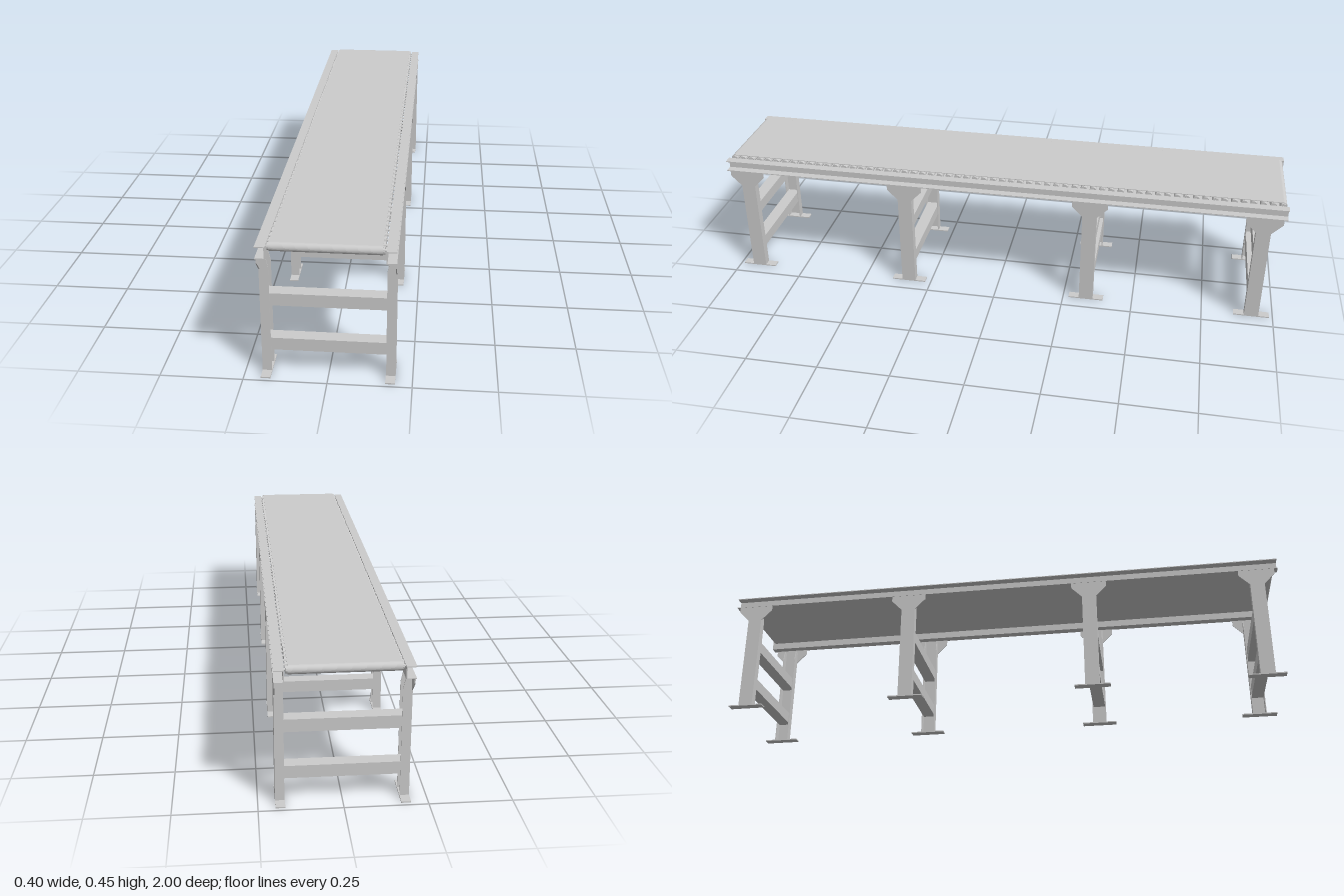
import * as THREE from 'three';

const material = new THREE.MeshStandardMaterial({ color: 0xcccccc, flatShading: true });

function add(parent, name, geometry, x = 0, y = 0, z = 0) {
  const mesh = new THREE.Mesh(geometry, material);
  mesh.name = name;
  mesh.position.set(x, y, z);
  parent.add(mesh);
  return mesh;
}

const box = (w, h, d) => new THREE.BoxGeometry(w, h, d);

// Polygon extruded symmetrically about its own plane
function plate(points, depth) {
  const shape = new THREE.Shape(points.map(([x, y]) => new THREE.Vector2(x, y)));
  return new THREE.ExtrudeGeometry(shape, { depth, bevelEnabled: false }).translate(0, 0, -depth / 2);
}

// Outline of the belt loop: two straight runs and two half circles
function loop(path, halfLength, r) {
  path.moveTo(-halfLength, -r);
  path.lineTo(halfLength, -r);
  path.absarc(halfLength, 0, r, -Math.PI / 2, Math.PI / 2, false);
  path.lineTo(-halfLength, r);
  path.absarc(-halfLength, 0, r, Math.PI / 2, Math.PI * 1.5, false);
  return path;
}

const ROLLER_Y = 0.436;
const ROLLER_END = 0.98;

// Channel leg opening inward, with a flared top plate and a foot
function createLeg(side) {
  const leg = new THREE.Group();
  leg.name = side > 0 ? 'leftLeg' : 'rightLeg';
  const web = plate([
    [-0.025, 0], [0.025, 0], [0.025, 0.345], [0.0625, 0.383],
    [0.0625, 0.403], [-0.0625, 0.403], [-0.0625, 0.383], [-0.025, 0.345],
  ], 0.003).rotateY(Math.PI / 2);
  add(leg, 'legWeb', web, side * 0.1975);
  const outline = [[0.171, 0], [0.198, 0], [0.198, 0.391], [0.18, 0.391], [0.171, 0.35]]
    .map(([x, y]) => [side * x, y]);
  for (const z of [-0.0235, 0.0235]) add(leg, 'legFlange', plate(outline, 0.003), 0, 0, z);
  add(leg, 'footPlate', box(0.029, 0.004, 0.125), side * 0.1845, 0.002);
  return leg;
}

export function createModel() {
  const model = new THREE.Group();
  model.name = 'beltConveyor';

  // Side rails: channels opening outward
  for (const side of [-1, 1]) {
    const rail = new THREE.Group();
    rail.name = side > 0 ? 'leftRail' : 'rightRail';
    add(rail, 'railWeb', box(0.003, 0.039, 2), side * 0.1715, 0.4215);
    for (const y of [0.4035, 0.4395]) add(rail, 'railFlange', box(0.03, 0.003, 2), side * 0.185, y);
    model.add(rail);
  }

  // Support frames
  for (const z of [-0.925, -0.333, 0.333, 0.925]) {
    const frame = new THREE.Group();
    frame.name = 'supportFrame';
    frame.position.z = z;
    frame.add(createLeg(-1), createLeg(1));
    for (const y of [0.095, 0.245]) add(frame, 'crossBar', box(0.392, 0.04, 0.044), 0, y);
    model.add(frame);
  }

  // Rollers with their axles
  const rollers = new THREE.Group();
  rollers.name = 'rollers';
  const rollerGeometry = new THREE.CylinderGeometry(0.0115, 0.0115, 0.332, 12).rotateZ(Math.PI / 2);
  const axleGeometry = new THREE.CylinderGeometry(0.004, 0.004, 0.344, 8).rotateZ(Math.PI / 2);
  const count = 62;
  for (let i = 0; i < count; i++) {
    const z = -ROLLER_END + (2 * ROLLER_END * i) / (count - 1);
    add(rollers, 'roller', rollerGeometry, 0, ROLLER_Y, z);
    add(rollers, 'axle', axleGeometry, 0, ROLLER_Y, z);
  }
  model.add(rollers);

  // Endless belt around the rollers
  const beltShape = loop(new THREE.Shape(), ROLLER_END, 0.014);
  beltShape.holes.push(loop(new THREE.Path(), ROLLER_END, 0.0118));
  const belt = new THREE.ExtrudeGeometry(beltShape, { depth: 0.32, bevelEnabled: false, curveSegments: 8 });
  belt.translate(0, 0, -0.16).rotateY(Math.PI / 2);
  add(model, 'belt', belt, 0, ROLLER_Y);

  return model;
}
